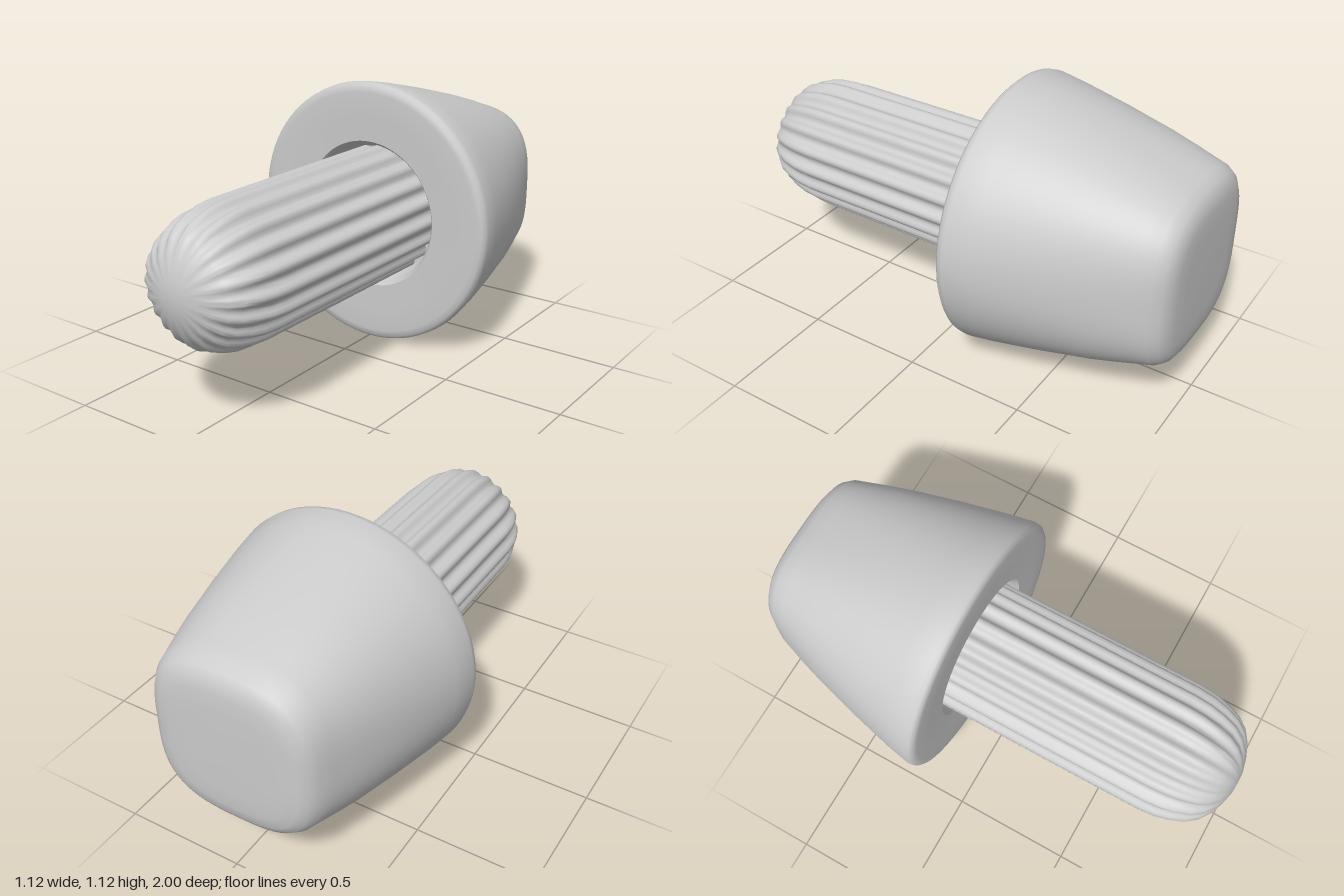
import * as THREE from 'three';
import { toCreasedNormals } from 'three/addons/utils/BufferGeometryUtils.js';

const CENTRE_Y = 0.565;

// Skin through rings listed along the profile; radius(angle, ring) shapes each cross-section
function loft(rings, sides, radius, crease) {
  const pos = [], idx = [];
  rings.forEach((ring) => {
    for (let j = 0; j < sides; j++) {
      const a = (j / sides) * Math.PI * 2;
      const r = radius(a, ring);
      pos.push(r * Math.cos(a), r * Math.sin(a), ring.z);
    }
  });
  for (let i = 0; i < rings.length - 1; i++) {
    for (let j = 0; j < sides; j++) {
      const k = (j + 1) % sides;
      const a = i * sides + j, b = i * sides + k;
      const c = a + sides, d = b + sides;
      if (rings[i].r > 0) idx.push(a, c, b);
      if (rings[i + 1].r > 0) idx.push(b, c, d);
      else if (rings[i].r > 0) continue;
    }
  }
  const geo = new THREE.BufferGeometry();
  geo.setAttribute('position', new THREE.Float32BufferAttribute(pos, 3));
  geo.setIndex(idx);
  geo.computeVertexNormals();
  return toCreasedNormals(geo, crease);
}

// Turns [radius, z, shape] rows into ring objects
const toRings = (rows) => rows.map(([r, z, k]) => ({ r, z, k }));

// Round at the front rim, blending to a rounded square at the back (k = superellipse exponent)
function headRadius(a, { r, k }) {
  const c = Math.abs(Math.cos(a)), s = Math.abs(Math.sin(a));
  const squash = 1 + 0.02 * (k - 2) * s * s;
  return (r * squash) / Math.pow(c ** k + s ** k, 1 / k);
}

// Ribs around the shaft; k = rib strength
function shaftRadius(a, { r, k }) {
  const rib = Math.cos(a * 20);
  const tooth = Math.sign(rib) * Math.sqrt(Math.abs(rib));
  const broad = Math.cos(a * 4);
  return r * (1 + k * (0.045 * tooth + 0.02 * broad));
}

export function createModel() {
  const group = new THREE.Group();
  const material = new THREE.MeshStandardMaterial({ color: 0xcccccc });
  const add = (name, geometry) => {
    const mesh = new THREE.Mesh(geometry, material);
    mesh.name = name;
    mesh.position.y = CENTRE_Y;
    group.add(mesh);
  };

  // Head: socket recess, flat front rim, tapering body, soft flat back
  add('head', loft(toRings([
    [0.2, -0.28, 2], [0.275, -0.27, 2], [0.295, -0.24, 2], [0.302, -0.185, 2],
    [0.315, -0.168, 2], [0.42, -0.165, 2], [0.52, -0.163, 2], [0.545, -0.166, 2],
    [0.557, -0.178, 2], [0.56, -0.2, 2], [0.54, -0.3, 2.05], [0.515, -0.4, 2.12],
    [0.49, -0.5, 2.2], [0.462, -0.6, 2.3], [0.433, -0.7, 2.45], [0.401, -0.8, 2.6],
    [0.372, -0.88, 2.8], [0.352, -0.935, 3], [0.328, -0.97, 3.1], [0.295, -0.99, 3.2],
    [0.25, -0.998, 3.2], [0.18, -1, 3], [0, -1, 2],
  ]), 80, headRadius, 0.7));

  // Ribbed shaft with a domed tip, running into the socket
  add('ribbedShaft', loft(toRings([
    [0, 1, 0], [0.05, 0.998, 0.1], [0.1, 0.985, 0.3], [0.15, 0.965, 0.5],
    [0.195, 0.932, 0.7], [0.226, 0.89, 0.8], [0.248, 0.83, 0.9], [0.261, 0.77, 1],
    [0.267, 0.7, 1], [0.268, 0.3, 1], [0.268, -0.32, 1],
  ]), 160, shaftRadius, 0.75));

  return group;
}
